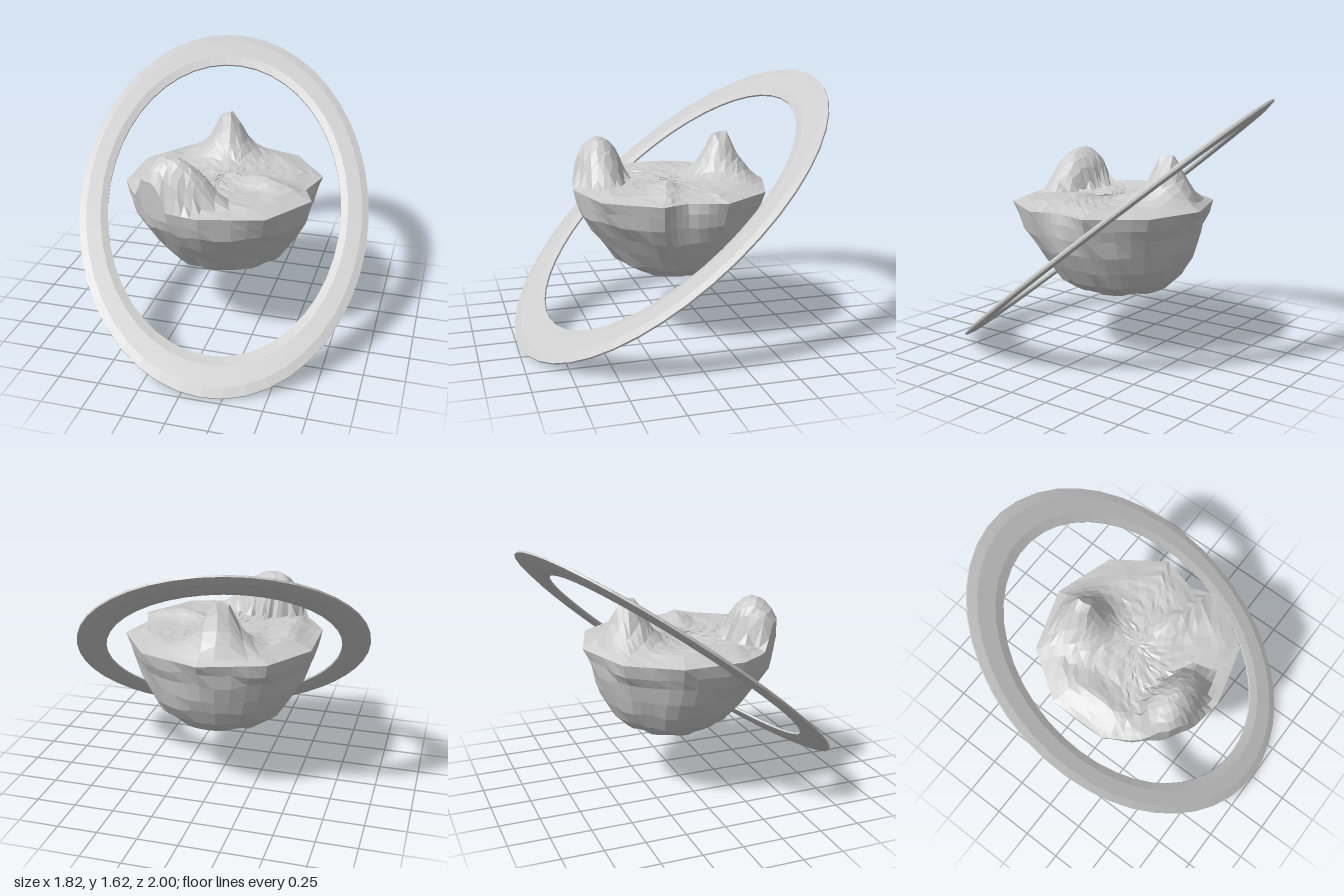
import * as THREE from 'three';

const material = new THREE.MeshStandardMaterial({ color: 0xcccccc, flatShading: true });

// Skin a list of equal-length point loops, ordered so that faces point outward
function loft(name, loops) {
  const n = loops[0].length, index = [];
  for (let k = 0; k < loops.length - 1; k++) {
    for (let i = 0; i < n; i++) {
      const j = (i + 1) % n, a = k * n, b = a + n;
      index.push(a + i, a + j, b + i, a + j, b + j, b + i);
    }
  }
  const geometry = new THREE.BufferGeometry();
  geometry.setAttribute('position', new THREE.Float32BufferAttribute(loops.flat(2), 3));
  geometry.setIndex(index);
  geometry.computeVertexNormals();
  const mesh = new THREE.Mesh(geometry, material);
  mesh.name = name;
  return mesh;
}

// Repeatable uneven value between -1 and 1
function rough(a, b) {
  const s = Math.sin(a * 12.9898 + b * 78.233) * 43758.5453;
  return (s - Math.floor(s)) * 2 - 1;
}

// Broken rim of the half planet, as x, z corners
const corners = [[0, -0.63], [0.37, -0.51], [0.59, -0.2], [0.525, 0.03], [0.59, 0.19], [0.38, 0.51],
  [0, 0.61], [-0.2, 0.58], [-0.35, 0.5], [-0.5, 0.33], [-0.59, 0.18], [-0.59, -0.2], [-0.39, -0.5]];
const STEPS = 4;
const rim = corners.flatMap(([x, z], i) => {
  const [x2, z2] = corners[(i + 1) % corners.length];
  return Array.from({ length: STEPS }, (_, s) => [x + (x2 - x) * s / STEPS, z + (z2 - z) * s / STEPS]);
});

// Height of the terrain on the cut face
function terrain(x, z, s) {
  let y = 0.95 + 0.03 * Math.min(1, (1 - s) * 5);
  // rounded hill at the front, steep on its outer side and sloping inward
  const dx = x + 0.22, dz = z - 0.42;
  const u = dx / (dx < 0 ? 0.21 : 0.33), v = dz / (dz < 0 ? 0.17 : 0.15);
  const d2 = u * u + v * v;
  if (d2 < 1) y += 0.255 * Math.pow(1 - d2, 0.45 + 0.6 * Math.max(0, u) / Math.sqrt(d2 + 1e-6));
  // pointed peak at the back
  const d = Math.hypot(x + 0.07, z + 0.36);
  y += Math.min(0.285, 0.36 * Math.exp(-Math.pow(d / 0.12, 1.5))) * Math.min(1, (1 - s) * 7);
  // low ridge on the left
  const across = z - (0.04 + 0.3 * (x - 0.1));
  y += 0.05 * Math.exp(-Math.pow((x - 0.28) / 0.17, 2) - Math.pow(across / 0.08, 2));
  // shallow shelf along the right
  y += 0.03 * Math.exp(-Math.pow((x + 0.42) / 0.07, 2) - Math.pow(z / 0.3, 2)) * (s < 1 ? 1 : 0);
  return y;
}

function makeTerrain() {
  const RINGS = 15, loops = [];
  for (let k = 0; k <= RINGS; k++) {
    loops.push(rim.map(([rx, rz], i) => {
      const s = k / RINGS, inner = k > 0 && k < RINGS;
      const x = rx * s + (inner ? 0.008 * rough(i, k) : 0);
      const z = rz * s + (inner ? 0.008 * rough(k, i + 5) : 0);
      return [x, terrain(x, z, s) + (inner ? 0.005 * rough(i + 3, k) : 0), z];
    }));
  }
  return loft('terrain', loops);
}

function makeBowl() {
  // height, scale and z shift of each level
  const levels = [[0.95, 1, 0], [0.88, 0.975, 0], [0.8, 0.94, 0], [0.7, 0.87, -0.02], [0.6, 0.78, -0.04],
    [0.5, 0.67, -0.05], [0.43, 0.52, -0.06], [0.4, 0.32, -0.07], [0.39, 0, -0.07]];
  const loops = levels.map(([y, scale, shift], k) => rim.map(([x, z], i) => {
    const r = Math.hypot(x, z);
    // the broken outline eases into a round bottom
    const f = scale * THREE.MathUtils.lerp(1, 0.6 / r, Math.min(1, k / 3));
    const inner = k > 0 && k < levels.length - 1;
    const bump = inner ? 1 + 0.012 * rough(Math.floor(i / 2), k) : 1;
    const top = k === 0 ? terrain(x, z, 1) : y + (inner && k < 7 ? 0.012 * rough(k + 9, Math.floor(i / 2)) : 0);
    return [x * f * bump, top, z * f * bump + shift];
  }));
  return loft('bowl', loops);
}

// Thin, tilted oval band around the planet
function makeRing() {
  const SEGMENTS = 44;
  const section = [[0, 0.006], [0.25, 0.018], [0.75, 0.018], [1, 0.006],
    [1, -0.006], [0.75, -0.018], [0.25, -0.018], [0, -0.006], [0, 0.006]];
  const normal = new THREE.Vector3(0.24, 1, 0.78).normalize();
  const loops = section.map(([t, h]) => Array.from({ length: SEGMENTS }, (_, i) => {
    const a = i / SEGMENTS * Math.PI * 2;
    const x = THREE.MathUtils.lerp(0.735, 0.91, t) * Math.cos(a);
    const z = THREE.MathUtils.lerp(0.8, 0.995, t) * Math.sin(a);
    return [x + normal.x * h, 0.805 - 0.24 * x - 0.78 * z + normal.y * h, z + normal.z * h];
  }));
  return loft('ring', loops);
}

export function createModel() {
  const model = new THREE.Group();
  model.name = 'ringedHalfPlanet';
  const planet = new THREE.Group();
  planet.name = 'planet';
  planet.add(makeTerrain(), makeBowl());
  model.add(planet, makeRing());
  return model;
}
